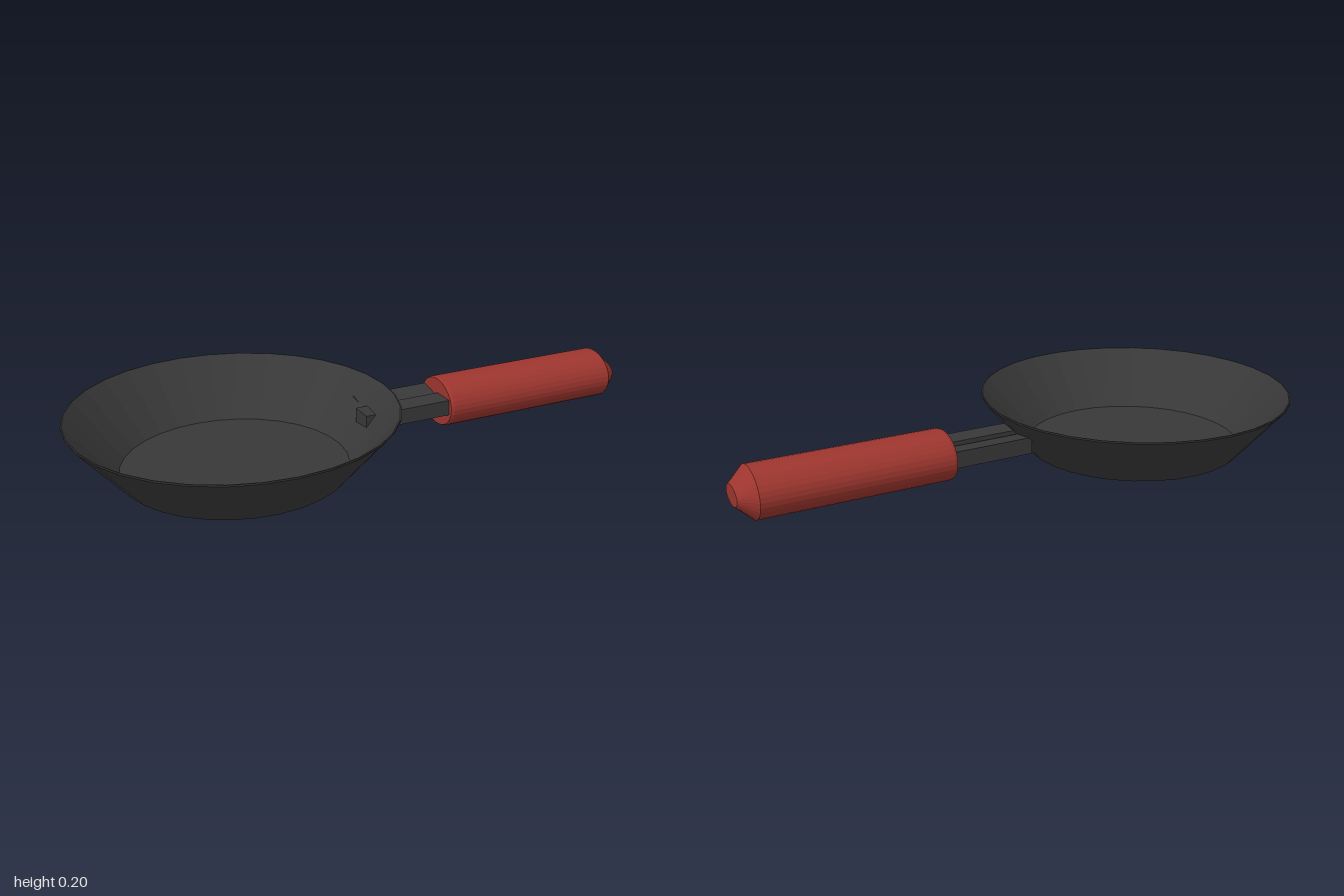
import * as THREE from 'three';

const iron = new THREE.MeshStandardMaterial({ color: 0x383838, flatShading: true });
const red = new THREE.MeshStandardMaterial({ color: 0x9c352e, flatShading: true });

const lathe = (points, sides) =>
  new THREE.LatheGeometry(points.map(([r, y]) => new THREE.Vector2(r, y)), sides);

function addPart(group, name, geometry, material) {
  const mesh = new THREE.Mesh(geometry, material);
  mesh.name = name;
  group.add(mesh);
  return mesh;
}

// Bar along x from a cross-section given as [z, y] corners
function bar(section, x0, x1) {
  const shape = new THREE.Shape(section.map(([z, y]) => new THREE.Vector2(-z, y)));
  const geometry = new THREE.ExtrudeGeometry(shape, { depth: x1 - x0, bevelEnabled: false });
  return geometry.rotateY(Math.PI / 2).translate(x0, 0, 0);
}

export function createModel() {
  const model = new THREE.Group();
  model.name = 'fryingPan';

  // Thin flared dish with a flat floor
  const dish = lathe([
    [0, 0], [0.377, 0], [0.541, 0.191], [0.541, 0.196], [0.537, 0.196], [0.374, 0.007], [0, 0.007],
  ], 32);
  addPart(model, 'dish', dish.translate(-0.459, 0, 0), iron);

  // Paired bracket bars; the front one breaks through the dish wall
  addPart(model, 'frontBracketBar',
    bar([[0.005, 0.073], [0.086, 0.073], [0.086, 0.127], [0.005, 0.127]], -0.025, 0.34), iron);
  addPart(model, 'backBracketBar',
    bar([[-0.09, 0.073], [-0.005, 0.073], [-0.005, 0.116], [-0.09, 0.13]], 0.01, 0.34), iron);

  // Oval grip with a tapered butt, flatter at its tip
  const grip = lathe([[0, 0.29], [0.96, 0.29], [1, 0.3], [1, 0.945], [0.53, 1], [0, 1]], 32);
  grip.rotateZ(-Math.PI / 2);
  const p = grip.attributes.position;
  for (let i = 0; i < p.count; i++) {
    const flatten = p.getX(i) > 0.99 ? 0.74 : 1;
    p.setY(i, 0.095 + p.getY(i) * 0.085 * flatten);
    p.setZ(i, p.getZ(i) * 0.107);
  }
  grip.computeVertexNormals();
  addPart(model, 'grip', grip, red);

  return model;
}
